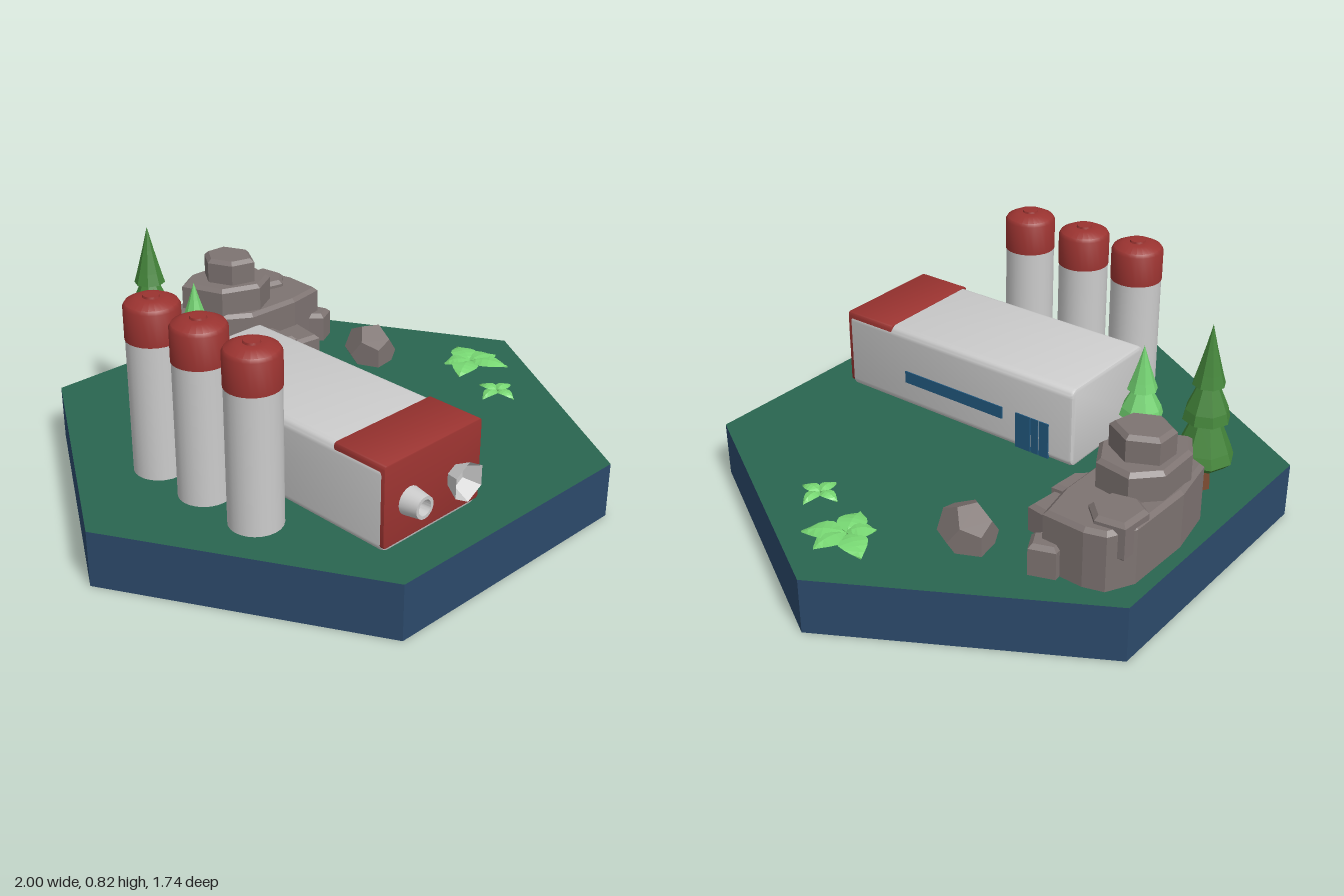
import * as THREE from 'three';
import { toCreasedNormals } from 'three/addons/utils/BufferGeometryUtils.js';

const paint = (color, flat = false, side = THREE.FrontSide) =>
  new THREE.MeshStandardMaterial({ color, flatShading: flat, side });
const GREY = paint(0xcccccc), RED = paint(0x9a3330), GLASS = paint(0x22587f);
const ROCK = paint(0x7d7371, true), BARK = paint(0x7a4a30, true);
const NAVY = paint(0x2c4a6b, true), GRASS = paint(0x2a6650, true);
const V2 = (x, y) => new THREE.Vector2(x, y);

function add(parent, name, geometry, material, x = 0, y = 0, z = 0) {
  const mesh = new THREE.Mesh(geometry, material);
  mesh.name = name;
  mesh.position.set(x, y, z);
  parent.add(mesh);
  return mesh;
}

function lathe(points, sides, smooth) {
  const g = new THREE.LatheGeometry(points.map(p => V2(...p)), sides);
  return smooth ? toCreasedNormals(g, 0.6) : g;
}

// Box prism along z with rounded long edges and a small bevel on its ends
function roundedPrism(w, h, d, r, bevel) {
  const x = w / 2 - bevel, y = h / 2 - bevel;
  const s = new THREE.Shape();
  s.absarc(x - r, y - r, r, 0, Math.PI / 2);
  s.absarc(r - x, y - r, r, Math.PI / 2, Math.PI);
  s.absarc(r - x, r - y, r, Math.PI, Math.PI * 1.5);
  s.absarc(x - r, r - y, r, Math.PI * 1.5, Math.PI * 2);
  const g = new THREE.ExtrudeGeometry(s, { depth: d - 2 * bevel, bevelThickness: bevel,
    bevelSize: bevel, bevelSegments: 2, curveSegments: 4 });
  g.translate(0, 0, bevel - d / 2);
  return toCreasedNormals(g, 0.6);
}

// Chamfered slab of stone from an outline in [x, z]
function slab(parent, outline, bottom, top) {
  const c = 0.014;
  const g = new THREE.ExtrudeGeometry(new THREE.Shape(outline.map(([x, z]) => V2(x, -z))), {
    depth: top - bottom - 2 * c, bevelThickness: c, bevelSize: c, bevelOffset: -c, bevelSegments: 1 });
  g.rotateX(-Math.PI / 2);
  add(parent, 'rockSlab', g, ROCK, 0, bottom + c, 0);
}

function makeTree(name, x, z, height, radius, color) {
  const tree = new THREE.Group();
  tree.name = name;
  tree.position.set(x, 0.2, z);
  const h = height, r = radius;
  add(tree, 'trunk', new THREE.CylinderGeometry(r * 0.22, r * 0.32, h * 0.3, 6), BARK, 0, h * 0.15, 0);
  // Three skirts, each tucked in beneath the one above
  const profile = [[0, 0.2], [0.75, 0.16], [1, 0.2], [0.88, 0.26], [0.45, 0.44], [0.78, 0.44],
    [0.7, 0.5], [0.3, 0.66], [0.54, 0.65], [0.42, 0.72], [0.2, 0.86], [0, 1]];
  add(tree, 'foliage', lathe(profile.map(([a, b]) => [a * r, b * h]), 8), paint(color, true));
  return tree;
}

// Pointed leaf lying along +z, arched upward and folded down at its sides
function leafGeometry(length, width) {
  const g = new THREE.PlaneGeometry(1, 1, 2, 6);
  const p = g.attributes.position;
  for (let i = 0; i < p.count; i++) {
    const t = p.getY(i) + 0.5, side = p.getX(i) * 2;
    const half = width * Math.sin(Math.PI * Math.pow(t, 0.8)) / 2;
    p.setXYZ(i, side * half, 0.02 * Math.sin(Math.PI * (t * 0.8 + 0.15)) - 0.006 * Math.abs(side), t * length);
  }
  g.computeVertexNormals();
  return g;
}

function makePlant(x, z, width, tips) {
  const plant = new THREE.Group();
  plant.name = 'leafyPlant';
  plant.position.set(x, 0.206, z);
  const mat = paint(0x78d873, true, THREE.DoubleSide);
  for (const [dx, dz] of tips)
    add(plant, 'leaf', leafGeometry(Math.hypot(dx, dz), width), mat).rotation.y = Math.atan2(dx, dz);
  return plant;
}

function makeBuilding() {
  const b = new THREE.Group();
  b.name = 'building';
  add(b, 'mainHall', roundedPrism(0.44, 0.3, 1.0, 0.02, 0.012), GREY, -0.23, 0.352, 0.21);
  add(b, 'redEnd', roundedPrism(0.436, 0.285, 0.21, 0.008, 0.004), RED, -0.23, 0.362, 0.612);
  add(b, 'longWindow', new THREE.BoxGeometry(0.01, 0.046, 0.44), GLASS, -0.011, 0.323, 0.222);
  for (const [z, w] of [[-0.088, 0.062], [-0.138, 0.03], [-0.177, 0.038]])
    add(b, 'doorPanel', new THREE.BoxGeometry(0.01, 0.135, w), GLASS, -0.011, 0.278, z);

  // Round port: hollow tube with a red centre
  const port = lathe([[0.048, 0], [0.038, 0.065], [0.027, 0.065], [0.022, 0.02], [0, 0.02]], 20, true);
  port.rotateX(Math.PI / 2);
  add(b, 'roundPort', port, GREY, -0.338, 0.348, 0.714);
  const dot = new THREE.CylinderGeometry(0.009, 0.009, 0.012, 12).rotateX(Math.PI / 2);
  add(b, 'portCentre', dot, RED, -0.338, 0.348, 0.738);

  // Six-sided flared nozzle
  const horn = new THREE.CylinderGeometry(0.07, 0.037, 0.06, 6, 1, true).rotateX(Math.PI / 2);
  add(b, 'nozzle', horn, paint(0xcccccc, true, THREE.DoubleSide), -0.132, 0.348, 0.744);
  const floor = new THREE.CylinderGeometry(0.038, 0.038, 0.006, 6).rotateX(Math.PI / 2);
  add(b, 'nozzleFloor', floor, GREY, -0.132, 0.348, 0.718);
  return b;
}

function makeTank(z) {
  const tank = new THREE.Group();
  tank.name = 'tank';
  tank.position.set(-0.588, 0.2, z);
  add(tank, 'tankBody', new THREE.CylinderGeometry(0.09, 0.09, 0.48, 24), GREY, 0, 0.24, 0);
  add(tank, 'tankCap', lathe([[0, 0.475], [0.092, 0.475], [0.092, 0.585], [0.085, 0.597], [0.052, 0.613],
    [0.028, 0.613], [0.026, 0.62], [0, 0.62]], 24, true), RED);
  return tank;
}

function makeRocks() {
  const rocks = new THREE.Group();
  rocks.name = 'rockPile';
  // Low front ledges
  slab(rocks, [[0.0, -0.64], [0.08, -0.5], [0.155, -0.41], [0.26, -0.4], [0.25, -0.65]], 0.18, 0.325);
  slab(rocks, [[0.245, -0.4], [0.365, -0.385], [0.39, -0.54], [0.24, -0.62]], 0.18, 0.3);
  slab(rocks, [[0.45, -0.6], [0.53, -0.61], [0.56, -0.525], [0.49, -0.49], [0.44, -0.54]], 0.18, 0.31);
  // Broad middle tier
  slab(rocks, [[-0.04, -0.74], [-0.02, -0.79], [0.155, -0.82], [0.4, -0.81], [0.49, -0.76], [0.51, -0.69],
    [0.505, -0.54], [0.36, -0.515], [0.15, -0.52], [0.01, -0.61]], 0.18, 0.41);
  slab(rocks, [[0.3, -0.75], [0.34, -0.81], [0.455, -0.8], [0.47, -0.7], [0.41, -0.64], [0.32, -0.66]], 0.3, 0.435);
  // Upper tiers
  slab(rocks, [[0.0, -0.75], [0.08, -0.8], [0.24, -0.8], [0.32, -0.72], [0.3, -0.59], [0.2, -0.535],
    [0.06, -0.59]], 0.35, 0.51);
  slab(rocks, [[0.08, -0.69], [0.13, -0.77], [0.22, -0.765], [0.265, -0.67], [0.21, -0.575], [0.12, -0.6]], 0.45, 0.6);
  const boulder = add(rocks, 'boulder', new THREE.DodecahedronGeometry(0.1), ROCK, 0.52, 0.235, -0.265);
  boulder.scale.set(0.95, 1.0, 1.15);
  boulder.rotation.y = -0.5;
  return rocks;
}

export function createModel() {
  const model = new THREE.Group();
  model.name = 'outpost';

  // Hexagonal ground block
  const ground = new THREE.CylinderGeometry(1, 1, 0.2, 6).rotateY(Math.PI / 6 - 0.0115);
  add(model, 'groundBlock', ground, [NAVY, GRASS, NAVY], 0, 0.1, 0);

  model.add(makeBuilding(), makeRocks());
  for (const z of [-0.16, 0.068, 0.31]) model.add(makeTank(z));
  model.add(makeTree('darkTree', -0.192, -0.692, 0.6, 0.103, 0x44853a));
  model.add(makeTree('lightTree', -0.183, -0.452, 0.455, 0.097, 0x72d070));
  model.add(makePlant(0.74, 0.05, 0.1,
    [[0.07, -0.125], [0.12, 0.03], [0.075, 0.125], [-0.12, 0.05], [-0.075, -0.06]]));
  model.add(makePlant(0.62, 0.28, 0.05, [[0, -0.08], [0.08, 0], [0, 0.08], [-0.08, 0]]));
  return model;
}
